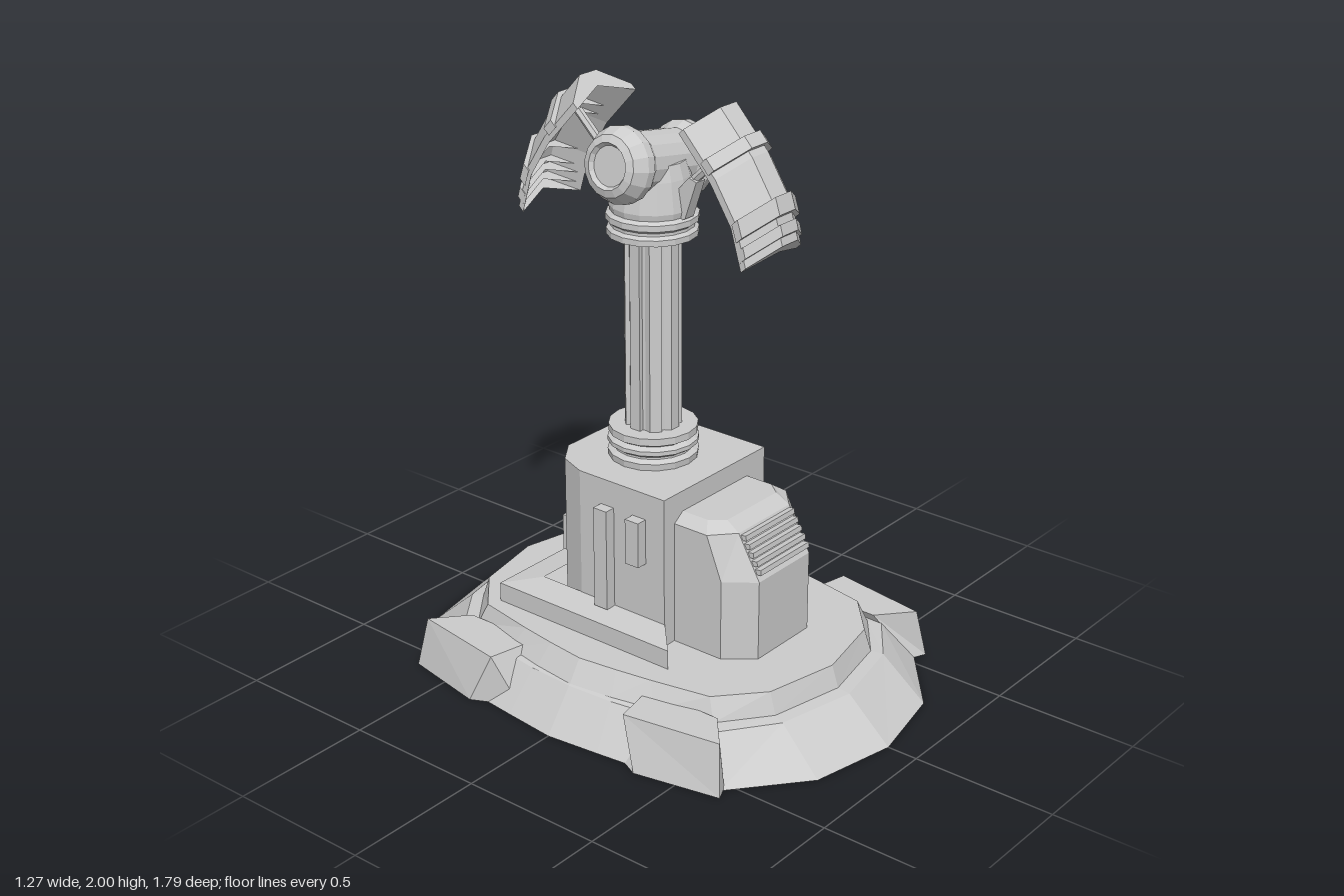
import * as THREE from 'three';

const CX = 0.014, CZ = -0.095; // column axis
const mat = new THREE.MeshStandardMaterial({ color: 0xcccccc, flatShading: true, side: THREE.DoubleSide });

function add(parent, name, geo, x = 0, y = 0, z = 0) {
  const m = new THREE.Mesh(geo, mat);
  m.name = name;
  m.position.set(x, y, z);
  parent.add(m);
  return m;
}

// Skin closed rings of [x, y, z] points, with optional fan caps at the ends
function loft(rings, capStart = true, capEnd = true) {
  const pos = [];
  const n = rings[0].length;
  for (let i = 0; i < rings.length - 1; i++) {
    for (let j = 0; j < n; j++) {
      const k = (j + 1) % n;
      const [a, b, c, d] = [rings[i][j], rings[i][k], rings[i + 1][k], rings[i + 1][j]];
      pos.push(...a, ...b, ...c, ...a, ...c, ...d);
    }
  }
  const cap = (ring, flip) => {
    const mid = [0, 1, 2].map(q => ring.reduce((s, p) => s + p[q], 0) / n);
    ring.forEach((p, j) => {
      const q = ring[(j + 1) % n];
      pos.push(...mid, ...(flip ? q : p), ...(flip ? p : q));
    });
  };
  if (capStart) cap(rings[0], true);
  if (capEnd) cap(rings[rings.length - 1], false);
  const g = new THREE.BufferGeometry();
  g.setAttribute('position', new THREE.Float32BufferAttribute(pos, 3));
  g.computeVertexNormals();
  return g;
}

// Lift a plan outline of [x, z] points to height y
const level = (plan, y) => plan.map(([x, z]) => [x, y, z]);
// Prism from a plan outline, optionally with another outline on top
const prism = (plan, y0, y1, top = plan) => loft([level(plan, y0), level(top, y1)]);
const lathe = (pts, seg = 16) => new THREE.LatheGeometry(pts.map(p => new THREE.Vector2(...p)), seg);

// Mirror a front-to-side quarter outline into a full ring
function fullRing(right, left, z, y) {
  const n = z.length, ring = [];
  for (let i = 0; i < n; i++) ring.push([right[i], y, z[i]]);
  for (let i = n - 2; i >= 0; i--) ring.push([right[i], y, -z[i]]);
  for (let i = 1; i < n; i++) ring.push([-left[i], y, -z[i]]);
  for (let i = n - 2; i > 0; i--) ring.push([-left[i], y, z[i]]);
  return ring;
}

function buildBase(g) {
  // Hollow skirt, open underneath, with a stepped ledge at front and back
  const x1 = [0, 0.28, 0.45, 0.5, 0.525, 0.535], x2 = [0, 0.265, 0.425, 0.48, 0.51, 0.53];
  const x3 = [0, 0.26, 0.405, 0.445, 0.465, 0.482];
  add(g, 'baseSkirt', loft([
    fullRing([0, 0.3, 0.54, 0.6, 0.555, 0.555], [0, 0.3, 0.54, 0.6, 0.62, 0.64], [0.893, 0.83, 0.63, 0.36, 0.19, 0], 0),
    fullRing(x1, x1, [0.735, 0.675, 0.55, 0.33, 0.17, 0], 0.14),
    fullRing(x2, x2, [0.69, 0.635, 0.51, 0.31, 0.16, 0], 0.145),
    fullRing(x3, x3, [0.665, 0.61, 0.48, 0.27, 0.14, 0], 0.22),
  ], false, true));

  // Corner buttresses
  const foot = [[0.575, 0.655], [0.635, 0.355], [0.56, 0.2], [0.52, 0.63]];
  const head = [[0.545, 0.63], [0.6, 0.285], [0.43, 0.25], [0.43, 0.53]];
  for (const sx of [-1, 1]) for (const sz of [-1, 1]) {
    const flip = pts => {
      const r = pts.map(([x, z]) => [x * sx, z * sz]);
      return sx * sz < 0 ? r.reverse() : r;
    };
    add(g, 'cornerButtress', prism(flip(foot).reverse(), 0, 0.172, flip(head).reverse()));
  }

  // Plinth under the tower, notched at the front
  const plinth = [[-0.26, 0.16], [0.27, 0.16], [0.38, 0.27], [0.38, -0.465], [-0.357, -0.465], [-0.357, 0.27]];
  const inner = [[-0.25, 0.16], [0.26, 0.16], [0.27, 0.17], [0.27, -0.36], [-0.25, -0.36], [-0.25, 0.17]];
  add(g, 'plinth', loft([level(plinth, 0.215), level(plinth, 0.287), level(inner, 0.302)], true, false));
}

function buildTower(g) {
  // Tower block with a rounded back
  const back = [[0.265, -0.19], [0.225, -0.29], [0.14, -0.35]];
  const plan = [[-0.265, 0.168], [0.265, 0.168], ...back, ...back.map(([x, z]) => [-x, z]).reverse()];
  add(g, 'towerBlock', prism(plan, 0.22, 0.752), CX);
  add(g, 'backPanel', new THREE.BoxGeometry(0.3, 0.13, 0.04), CX, 0.425, -0.352);
  add(g, 'longSideBar', new THREE.BoxGeometry(0.06, 0.36, 0.055), -0.26, 0.48, -0.072);
  add(g, 'shortSideBar', new THREE.BoxGeometry(0.06, 0.16, 0.055), -0.26, 0.58, 0.063);

  // Front console with chamfered corners and a sloped face
  const section = (y, w, zf, wf, zs) => level([[-wf, zf], [wf, zf], [w, zs], [w, 0.15], [-w, 0.15], [-w, zs]], y);
  add(g, 'console', loft([
    section(0.22, 0.212, 0.455, 0.135, 0.36), section(0.5, 0.212, 0.455, 0.135, 0.36),
    section(0.65, 0.212, 0.37, 0.135, 0.3), section(0.68, 0.17, 0.32, 0.13, 0.27),
  ]), CX);
  // Louvres on the slope
  for (let i = 0; i < 5; i++) {
    const t = (i + 0.6) / 5.2;
    const slat = add(g, 'louvre', new THREE.BoxGeometry(0.26, 0.018, 0.03), CX, 0.515 + 0.135 * t, 0.452 - 0.08 * t);
    slat.rotation.x = -0.15;
  }

  // Side drum: hollow rim with a recessed core
  const drum = new THREE.Group();
  drum.name = 'sideDrum';
  drum.position.set(0.265, 0.585, -0.047);
  drum.rotation.x = Math.PI / 2;
  g.add(drum);
  add(drum, 'drumRim', lathe([[0.075, -0.103], [0.102, -0.103], [0.102, 0.103], [0.075, 0.103], [0.075, -0.103]], 20));
  add(drum, 'drumCore', new THREE.CylinderGeometry(0.076, 0.076, 0.17, 20));
}

function buildColumn(g) {
  // Grooved collars
  const collar = [[0, 0], [0.15, 0], [0.153, 0.025], [0.133, 0.035], [0.133, 0.042], [0.153, 0.055],
    [0.153, 0.07], [0.133, 0.08], [0.15, 0.09], [0.15, 0.115], [0, 0.115]];
  add(g, 'lowerCollar', lathe(collar), CX, 0.75, CZ);

  // Fluted shaft
  const shape = new THREE.Shape(), flutes = 8;
  for (let i = 0; i < flutes; i++) {
    [[-0.27, 0.095], [0.27, 0.095], [0.31, 0.08], [0.47, 0.08]].forEach(([f, r], k) => {
      const a = ((i + f) / flutes) * Math.PI * 2;
      shape[i + k ? 'lineTo' : 'moveTo'](r * Math.cos(a), r * Math.sin(a));
    });
  }
  shape.closePath();
  const shaft = new THREE.ExtrudeGeometry(shape, { depth: 0.7, bevelEnabled: false }).rotateX(-Math.PI / 2);
  add(g, 'flutedShaft', shaft, CX, 0.85, CZ);

  // Neck that carries the head
  add(g, 'neck', lathe([[0, 0], [0.15, 0], [0.15, 0.02], [0.138, 0.03], [0.138, 0.04], [0.152, 0.05],
    [0.152, 0.07], [0.138, 0.08], [0.142, 0.1], [0.125, 0.2], [0.11, 0.25], [0, 0.25]]), CX, 1.53, CZ);

  // Tilted cross drum with bulging ends
  const half = [[0.075, 0.225], [0.1, 0.215], [0.125, 0.17], [0.125, 0.14], [0.102, 0.105]];
  const profile = [[0, -0.21], [0.065, -0.21], ...half.map(([r, h]) => [r, -h]),
    ...half.slice().reverse(), [0.065, 0.21], [0, 0.21]];
  add(g, 'headDrum', lathe(profile), CX, 1.765, CZ).rotation.z = -Math.PI / 2 - 0.17;
}

// Curved three-facet plate along a path of [distance, y] points
function plate(path, s, lift, thick, wide) {
  const rings = path.map(([d, y]) => {
    const at = (x, drop) => [0.035 + x, y - drop * 0.68, CZ + s * (d - drop * 0.73)];
    const across = [[-wide, 0.085], [-0.04, 0], [0.04, 0], [wide, 0.085]];
    return [...across.map(([x, o]) => at(x, o - lift)),
      ...across.slice().reverse().map(([x, o]) => at(x, o - lift + thick))];
  });
  return loft(rings);
}

function buildClaw(g, s) {
  const claw = new THREE.Group();
  claw.name = s > 0 ? 'frontClaw' : 'backClaw';
  g.add(claw);
  add(claw, 'clawPlate', plate([[0.285, 2.0], [0.41, 1.865], [0.49, 1.74], [0.53, 1.605]], s, 0, 0.025, 0.143));
  add(claw, 'upperBand', plate([[0.365, 1.915], [0.395, 1.882]], s, 0.018, 0.03, 0.148));
  add(claw, 'lowerBand', plate([[0.487, 1.745], [0.505, 1.69]], s, 0.018, 0.03, 0.148));
  add(claw, 'tipBand', plate([[0.512, 1.665], [0.522, 1.63]], s, 0.012, 0.03, 0.146));

  // Strut from the neck to the plate
  const a = new THREE.Vector3(CX, 1.69, CZ + s * 0.12), b = new THREE.Vector3(CX, 1.875, CZ + s * 0.31);
  add(claw, 'strut', new THREE.TubeGeometry(new THREE.LineCurve3(a, b), 1, 0.015, 6));

  // Triangular bracket
  const tri = [[0.1, 1.59], [0.15, 1.61], [0.195, 1.74], [0.165, 1.75], [0.1, 1.68]];
  add(claw, 'bracket', loft([-0.022, 0.022].map(x => tri.map(([d, y]) => [CX + x, y, CZ + s * d]))));
}

export function createModel() {
  const model = new THREE.Group();
  model.name = 'clawPost';
  buildBase(model);
  buildTower(model);
  buildColumn(model);
  for (const s of [1, -1]) buildClaw(model, s);
  return model;
}
